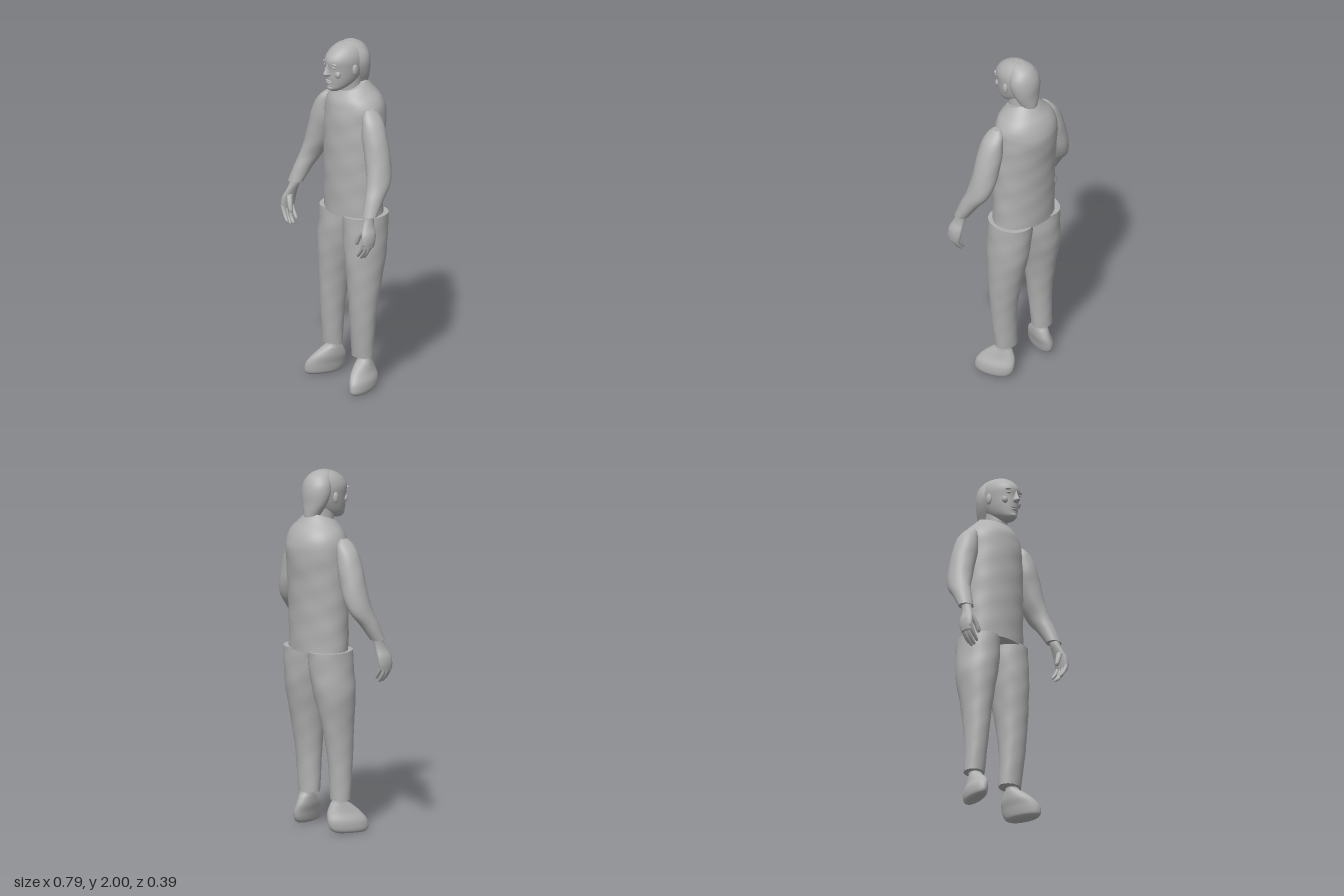
import * as THREE from 'three';

const grey = new THREE.MeshStandardMaterial({ color: 0xb0b0b0 });
grey.name = 'plain grey';

// Smooth interpolation between four table rows
function blend(p0, p1, p2, p3, t) {
  return p1.map((b, k) => {
    const a = p0[k], c = p2[k], d = p3[k];
    return 0.5 * (2 * b + (c - a) * t + (2 * a - 5 * b + 4 * c - d) * t * t + (3 * b - a - 3 * c + d) * t * t * t);
  });
}

// Loft of elliptical rings, bottom to top. Row: [y, xMin, xMax, zMin, zMax, tilt]
function loft(name, rows, { sides = 32, steps = 5, yaw = 0, ripple = 0 } = {}) {
  rows = rows.map(r => [...r, 0].slice(0, 6));
  const rings = [];
  for (let i = 0; i < rows.length - 1; i++) {
    for (let j = 0; j < steps; j++) {
      rings.push(blend(rows[Math.max(i - 1, 0)], rows[i], rows[i + 1], rows[Math.min(i + 2, rows.length - 1)], j / steps));
    }
  }
  rings.push(rows[rows.length - 1]);
  const pos = [], index = [], cos = Math.cos(yaw), sin = Math.sin(yaw);
  const addRing = ([y, x0, x1, z0, z1, tilt]) => {
    for (let j = 0; j < sides; j++) {
      const a = (j / sides) * Math.PI * 2;
      const f = 1 + ripple * (Math.sin(y * 47 + a * 3) + Math.sin(y * 29 - a * 5));
      const x = Math.cos(a) * Math.abs(x1 - x0) / 2 * f, z = Math.sin(a) * (z1 - z0) / 2 * f;
      pos.push((x0 + x1) / 2 + x * cos + z * sin, y + tilt * z, (z0 + z1) / 2 - x * sin + z * cos);
    }
  };
  rings.forEach(addRing);
  for (let i = 0; i < rings.length - 1; i++) {
    for (let j = 0; j < sides; j++) {
      const a = i * sides + j, b = i * sides + (j + 1) % sides;
      index.push(a, a + sides, b, b, a + sides, b + sides);
    }
  }
  // Flat end caps with their own vertices
  [rings[0], rings[rings.length - 1]].forEach((r, end) => {
    const base = pos.length / 3;
    addRing(r);
    pos.push((r[1] + r[2]) / 2, r[0], (r[3] + r[4]) / 2);
    for (let j = 0; j < sides; j++) {
      const a = base + j, b = base + (j + 1) % sides;
      index.push(base + sides, end ? b : a, end ? a : b);
    }
  });
  const g = new THREE.BufferGeometry();
  g.setAttribute('position', new THREE.Float32BufferAttribute(pos, 3));
  g.setIndex(index);
  g.computeVertexNormals();
  const mesh = new THREE.Mesh(g, grey);
  mesh.name = name;
  return mesh;
}

function blob(name, x, y, z, rx, ry, rz, roll = 0) {
  const mesh = new THREE.Mesh(new THREE.SphereGeometry(1, 16, 12), grey);
  mesh.name = name;
  mesh.position.set(x, y, z);
  mesh.scale.set(rx, ry, rz);
  mesh.rotation.z = roll;
  return mesh;
}

// Rows symmetric in x: [y, halfWidth, zMin, zMax]
const even = rows => rows.map(([y, w, a, b]) => [y, -w, w, a, b]);
// Rows for one side of the body
const sided = (rows, s) => rows.map(([y, a, b, c, d]) => [y, a * s, b * s, c, d]);

function makeHead() {
  const head = new THREE.Group();
  head.name = 'head';
  head.position.x = 0.012;
  head.add(
    loft('neck', even([[1.64, 0.075, -0.08, 0.07], [1.7, 0.06, -0.07, 0.068], [1.74, 0.056, -0.06, 0.075], [1.8, 0.056, -0.06, 0.08]])),
    loft('face', even([
      [1.73, 0.022, 0.07, 0.135], [1.745, 0.042, 0.03, 0.15], [1.77, 0.06, -0.02, 0.152], [1.81, 0.074, -0.06, 0.156],
      [1.86, 0.084, -0.085, 0.158], [1.91, 0.088, -0.09, 0.163], [1.95, 0.078, -0.08, 0.138],
      [1.98, 0.056, -0.055, 0.098], [1.995, 0.03, -0.02, 0.058]])),
    loft('hair', even([
      [1.69, 0.018, -0.102, -0.07], [1.76, 0.05, -0.108, -0.02], [1.82, 0.079, -0.107, 0.015], [1.88, 0.094, -0.107, 0.04],
      [1.93, 0.089, -0.098, 0.05], [1.97, 0.066, -0.075, 0.055], [1.99, 0.044, -0.045, 0.05], [2.0, 0.022, -0.02, 0.04]]), { ripple: 0.006 }),
    loft('nose', even([
      [1.82, 0.012, 0.13, 0.166], [1.832, 0.019, 0.12, 0.186], [1.842, 0.016, 0.12, 0.185],
      [1.865, 0.01, 0.12, 0.173], [1.895, 0.008, 0.12, 0.163]]), { sides: 16 }),
    blob('upperLip', 0, 1.793, 0.15, 0.026, 0.006, 0.013),
    blob('lowerLip', 0, 1.781, 0.148, 0.021, 0.007, 0.013),
    blob('chin', 0, 1.75, 0.138, 0.024, 0.015, 0.017));
  for (const s of [-1, 1]) {
    head.add(
      blob('eye', s * 0.036, 1.876, 0.142, 0.016, 0.007, 0.011),
      blob('brow', s * 0.038, 1.897, 0.143, 0.023, 0.006, 0.013, -s * 0.12),
      blob('cheek', s * 0.046, 1.835, 0.125, 0.022, 0.022, 0.016),
      blob('ear', s * 0.086, 1.855, 0.035, 0.012, 0.032, 0.018));
  }
  return head;
}

function makeArm(s) {
  const arm = new THREE.Group();
  arm.name = s > 0 ? 'leftArm' : 'rightArm';
  arm.position.x = 0.006;
  arm.add(
    loft('sleeve', sided([
      [1.095, 0.298, 0.385, 0.078, 0.16], [1.18, 0.278, 0.376, 0.02, 0.132], [1.25, 0.255, 0.365, -0.035, 0.106],
      [1.33, 0.218, 0.35, -0.058, 0.09], [1.43, 0.185, 0.327, -0.062, 0.082], [1.5, 0.168, 0.305, -0.062, 0.08],
      [1.57, 0.165, 0.275, -0.056, 0.07], [1.615, 0.165, 0.24, -0.045, 0.056], [1.645, 0.172, 0.206, -0.02, 0.032]], s), { ripple: 0.006 }),
    loft('palm', sided([
      [0.925, 0.358, 0.388, 0.115, 0.192], [0.96, 0.352, 0.393, 0.105, 0.196], [1.0, 0.344, 0.39, 0.1, 0.192],
      [1.04, 0.332, 0.375, 0.1, 0.175], [1.08, 0.32, 0.368, 0.095, 0.158], [1.12, 0.32, 0.368, 0.085, 0.15]], s), { sides: 20 }),
    loft('thumb', sided([
      [0.93, 0.298, 0.312, 0.17, 0.186], [0.945, 0.295, 0.319, 0.166, 0.192], [0.98, 0.306, 0.334, 0.16, 0.19],
      [1.02, 0.325, 0.36, 0.145, 0.18]], s), { sides: 12 }));
  // Fingers curl inward, the middle ones longest
  [0.872, 0.85, 0.852, 0.868].forEach((tip, i) => {
    const z = 0.124 + i * 0.021;
    arm.add(loft('finger', sided([
      [tip, 0.322, 0.332, z - 0.004, z + 0.006], [tip + 0.012, 0.322, 0.342, z - 0.009, z + 0.011],
      [tip + 0.045, 0.344, 0.367, z - 0.011, z + 0.011], [0.95, 0.36, 0.386, z - 0.011, z + 0.011]], s), { sides: 12, steps: 3 }));
  });
  return arm;
}

function makeLeg(s, xs) {
  const leg = new THREE.Group();
  leg.name = s > 0 ? 'leftLeg' : 'rightLeg';
  const depth = [[0.185, -0.053, 0.058], [0.4, -0.062, 0.08], [0.6, -0.095, 0.096], [0.78, -0.135, 0.11], [0.9, -0.15, 0.112], [1.012, -0.158, 0.112]];
  leg.add(
    loft('trouserLeg', depth.map(([y, a, b], i) => [y, ...xs[i], a, b]), { ripple: 0.006, steps: 8 }),
    loft('shoe', sided([
      [0, 0.16, 0.22, -0.035, 0.13], [0.012, 0.143, 0.228, -0.06, 0.148], [0.035, 0.134, 0.23, -0.075, 0.153],
      [0.07, 0.125, 0.225, -0.08, 0.147], [0.11, 0.112, 0.205, -0.072, 0.12], [0.15, 0.106, 0.19, -0.053, 0.075],
      [0.175, 0.106, 0.182, -0.037, 0.042], [0.21, 0.106, 0.18, -0.033, 0.035]], s), { yaw: s * 0.3 }));
  return leg;
}

export function createModel() {
  const model = new THREE.Group();
  model.name = 'standingFigure';
  model.add(
    loft('shirt', [
      [1.005, -0.187, 0.205, -0.16, 0.12], [1.2, -0.183, 0.2, -0.166, 0.125], [1.4, -0.183, 0.199, -0.178, 0.128],
      [1.55, -0.18, 0.195, -0.195, 0.126], [1.62, -0.177, 0.192, -0.188, 0.118], [1.67, -0.155, 0.17, -0.165, 0.108, -0.05],
      [1.71, -0.115, 0.13, -0.125, 0.092, -0.15], [1.745, -0.075, 0.092, -0.085, 0.078, -0.35]], { sides: 56, steps: 10, ripple: 0.005 }),
    makeHead(),
    makeArm(-1),
    makeArm(1),
    makeLeg(-1, [[-0.215, -0.095], [-0.211, -0.08], [-0.215, -0.055], [-0.228, -0.015], [-0.215, 0.006], [-0.205, 0.01]]),
    makeLeg(1, [[0.055, 0.19], [0.057, 0.21], [0.045, 0.225], [0.022, 0.232], [0.008, 0.23], [0.004, 0.225]]));
  return model;
}
